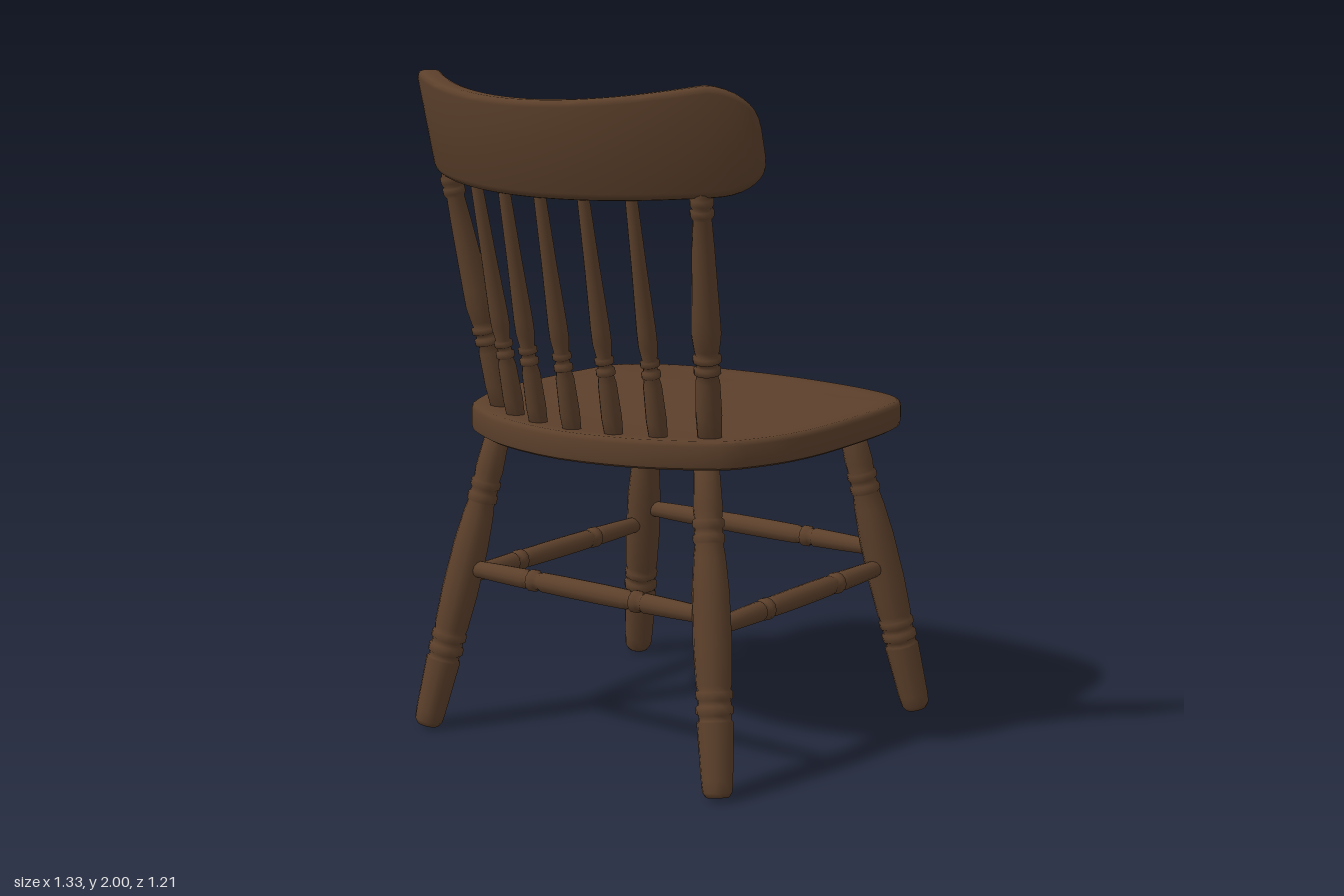
import * as THREE from 'three';
import { toCreasedNormals } from 'three/addons/utils/BufferGeometryUtils.js';

const wood = new THREE.MeshStandardMaterial({ color: 0x5c402b });
wood.name = 'brownWood';

// Profiles of the turned parts: [fraction of length, radius]
const LEG = [[0, 0], [0, 0.034], [0.015, 0.043], [0.05, 0.046], [0.22, 0.053], [0.225, 0.047], [0.24, 0.047],
  [0.245, 0.054], [0.265, 0.054], [0.27, 0.048], [0.285, 0.048], [0.29, 0.054], [0.31, 0.054], [0.315, 0.048],
  [0.33, 0.052], [0.45, 0.056], [0.6, 0.054], [0.7, 0.047], [0.745, 0.041], [0.75, 0.046], [0.77, 0.046],
  [0.775, 0.041], [0.79, 0.041], [0.795, 0.046], [0.815, 0.046], [0.82, 0.04], [0.85, 0.043], [1, 0.036], [1, 0]];
const STRETCHER_HALF = [[0, 0], [0, 0.024], [0.14, 0.028], [0.255, 0.03], [0.26, 0.026], [0.275, 0.026], [0.28, 0.033],
  [0.3, 0.033], [0.305, 0.026], [0.32, 0.026], [0.33, 0.03], [0.42, 0.031]];
const STRETCHER = [...STRETCHER_HALF, ...STRETCHER_HALF.map(([t, r]) => [1 - t, r]).reverse()];
const SPINDLE = [[0, 0], [0, 0.026], [0.1, 0.03], [0.24, 0.027], [0.27, 0.022], [0.275, 0.028], [0.295, 0.028],
  [0.3, 0.021], [0.315, 0.021], [0.32, 0.028], [0.34, 0.028], [0.345, 0.022], [0.4, 0.028], [0.46, 0.028],
  [0.7, 0.022], [1, 0.017], [1, 0]];
const POST = [[0, 0], [0, 0.034], [0.12, 0.038], [0.25, 0.035], [0.275, 0.029], [0.28, 0.039], [0.3, 0.039],
  [0.305, 0.032], [0.32, 0.032], [0.325, 0.041], [0.345, 0.041], [0.35, 0.033], [0.37, 0.037], [0.43, 0.043],
  [0.5, 0.041], [0.75, 0.032], [0.85, 0.027], [0.865, 0.034], [0.885, 0.034], [0.89, 0.028], [0.905, 0.034],
  [0.925, 0.034], [0.935, 0.027], [1, 0.027], [1, 0]];

// A lathe-turned bar running from a to b
function turned(name, profile, a, b) {
  const from = new THREE.Vector3(...a), axis = new THREE.Vector3(...b).sub(from);
  const length = axis.length();
  const geo = new THREE.LatheGeometry(profile.map(([t, r]) => new THREE.Vector2(r, t * length)), 12);
  const mesh = new THREE.Mesh(geo, wood);
  mesh.name = name;
  mesh.position.copy(from);
  mesh.quaternion.setFromUnitVectors(new THREE.Vector3(0, 1, 0), axis.normalize());
  return mesh;
}

// Closed skin over equal-sized loops of points, with a fan at each end
function loft(name, loops, crease) {
  const n = loops[0].length, pos = [], index = [];
  loops.forEach(loop => loop.forEach(p => pos.push(p.x, p.y, p.z)));
  for (let i = 0; i < loops.length - 1; i++) for (let j = 0; j < n; j++) {
    const a = i * n + j, b = i * n + (j + 1) % n;
    index.push(a, b, a + n, b, b + n, a + n);
  }
  [0, loops.length - 1].forEach(i => {
    const c = pos.length / 3, mid = new THREE.Vector3();
    loops[i].forEach(p => mid.addScaledVector(p, 1 / n));
    pos.push(mid.x, mid.y, mid.z);
    for (let j = 0; j < n; j++) {
      const a = i * n + j, b = i * n + (j + 1) % n;
      if (i === 0) index.push(c, b, a); else index.push(c, a, b);
    }
  });
  const geo = new THREE.BufferGeometry();
  geo.setAttribute('position', new THREE.Float32BufferAttribute(pos, 3));
  geo.setIndex(index);
  const mesh = new THREE.Mesh(toCreasedNormals(geo, crease), wood);
  mesh.name = name;
  return mesh;
}

// Seat: rounded outline, stacked as rings, with a shallow dish and a lowered front lip
function makeSeat() {
  const half = [[0.59, 0.455], [0.5, 0.527], [0.4, 0.555], [0.24, 0.57], [0, 0.575], [-0.14, 0.556],
    [-0.24, 0.522], [-0.325, 0.475], [-0.415, 0.34], [-0.465, 0.22]];
  const side = [[0.66, 0.16], [0.637, 0.32], ...half];
  const outline = [[0.668, 0], ...side, [-0.5, 0], ...side.map(([x, z]) => [x, -z]).reverse()];
  const curve = new THREE.CatmullRomCurve3(outline.map(([x, z]) => new THREE.Vector3(x, 0, -z)), true);
  const edge = curve.getPoints(72).slice(0, 72);
  const rings = [[0.3, 0.915], [0.975, 0.915], [0.995, 0.922], [1, 0.935], [1, 0.985], [0.994, 0.995],
    [0.98, 1], [0.9, 0.998], [0.75, 0.994], [0.5, 0.992], [0.2, 0.992]];
  const loops = rings.map(([s, y]) => edge.map(p => {
    const x = 0.08 + (p.x - 0.08) * s;
    const dip = y > 0.95 ? 0.01 * THREE.MathUtils.smoothstep(x, 0.4, 0.6) : 0;
    return new THREE.Vector3(x, y - dip, p.z * s);
  }));
  return loft('seat', loops, 0.7);
}

// Crest rail: curved in plan, leaning back, with rounded ends
function makeCrestRail() {
  const R = 0.765, END = 0.59, CORNER = 0.1, N = 44;
  const loops = [];
  for (let i = 0; i <= N; i++) {
    const z = -END * Math.cos(Math.PI * i / N), a = Math.abs(z);
    const c = Math.max(0, (a - END + CORNER) / CORNER);
    const round = CORNER * (1 - Math.sqrt(Math.max(0, 1 - c * c)));
    const top = 1.955 + 0.05 * Math.pow(a / 0.5, 2) * (a < 0.5 ? 1 : Math.pow(0.5 / a, 2)) - round;
    const bottom = 1.677 + 0.02 * Math.pow(a / 0.5, 2) + round * 0.85;
    const slope = z / R, cx = R - Math.sqrt(R * R - z * z);
    const thick = 0.036 - 0.014 * Math.pow(c, 4);
    const loop = [];
    // Rounded rectangle section, four points to each corner
    [[1, 1], [-1, 1], [-1, -1], [1, -1]].forEach(([sx, sy], q) => {
      for (let k = 0; k < 4; k++) {
        const ang = (q + k / 3) * Math.PI / 2, r = 0.02;
        const off = sx * (thick - r) + r * Math.cos(ang);
        const y = (sy > 0 ? top - r : bottom + r) + r * Math.sin(ang);
        const x = -0.598 - 0.26 * (y - 1.82) + cx + off * Math.sqrt(1 - slope * slope);
        loop.push(new THREE.Vector3(x, y, z - off * slope));
      }
    });
    loops.push(loop);
  }
  return loft('crestRail', loops, 0.8);
}

export function createModel() {
  const chair = new THREE.Group();
  chair.name = 'chair';
  chair.add(makeSeat(), makeCrestRail());

  // Splayed legs, side stretchers, back posts and outer spindles, mirrored across z
  [1, -1].forEach(s => {
    const side = s > 0 ? 'Near' : 'Far';
    chair.add(
      turned('frontLeg' + side, LEG, [0.585, 0.011, 0.55 * s], [0.43, 0.94, 0.385 * s]),
      turned('rearLeg' + side, LEG, [-0.462, 0.011, 0.55 * s], [-0.298, 0.94, 0.385 * s]),
      turned('sideStretcher' + side, STRETCHER, [-0.37, 0.47, 0.468 * s], [0.5, 0.47, 0.468 * s]),
      turned('backPost' + side, POST, [-0.28, 0.97, 0.385 * s], [-0.432, 1.75, 0.463 * s]),
      turned('outerSpindle' + side, SPINDLE, [-0.36, 0.97, 0.265 * s], [-0.512, 1.71, 0.282 * s]),
      turned('innerSpindle' + side, SPINDLE, [-0.405, 0.97, 0.14 * s], [-0.552, 1.71, 0.144 * s]));
  });
  chair.add(turned('middleSpindle', SPINDLE, [-0.422, 0.97, 0], [-0.568, 1.71, 0]));

  // Cross stretchers
  chair.add(
    turned('frontStretcher', STRETCHER, [0.498, 0.525, -0.455], [0.498, 0.525, 0.455]),
    turned('rearStretcher', STRETCHER, [-0.373, 0.502, -0.46], [-0.373, 0.502, 0.46]));
  return chair;
}
